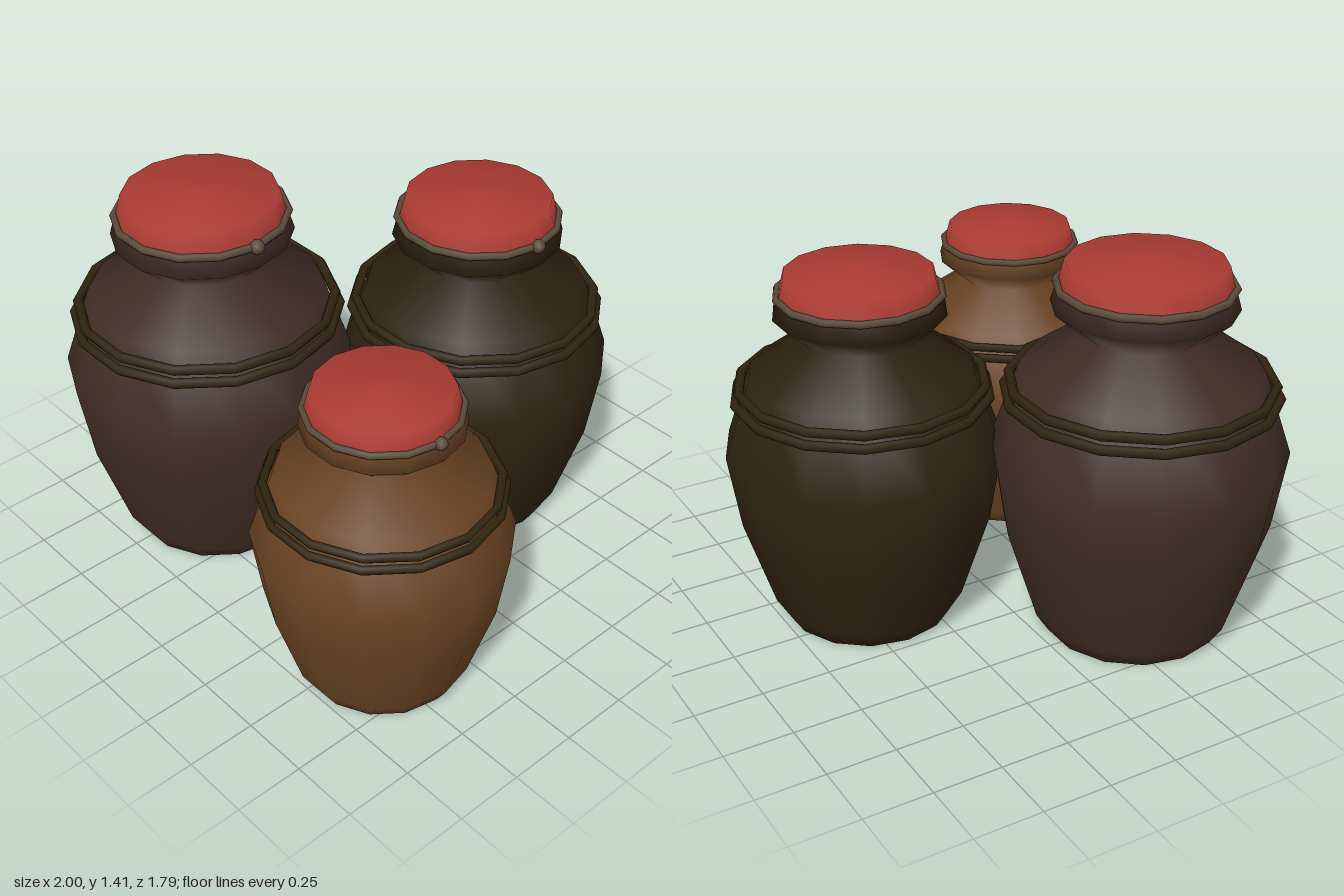
import * as THREE from 'three';

const SIDES = 14;

function material(name, color) {
  const m = new THREE.MeshStandardMaterial({ color });
  m.name = name;
  return m;
}

function part(name, geometry, mat) {
  const mesh = new THREE.Mesh(geometry, mat);
  mesh.name = name;
  return mesh;
}

// Turned shape with a corner pointing along +x
function turned(profile) {
  const points = profile.map(([r, y]) => new THREE.Vector2(r, y));
  return new THREE.LatheGeometry(points, SIDES).rotateY(Math.PI / 2);
}

// Horizontal ring of cord
function ring(radius, tube, y) {
  return new THREE.TorusGeometry(radius, tube, 6, SIDES).rotateX(Math.PI / 2).translate(0, y, 0);
}

export function createModel() {
  const cloth = material('red cloth', 0xa83a32);
  const cord = material('pale cord', 0x5a4c3a);
  const rope = material('dark rope', 0x302410);

  const bodyProfile = [
    [0, 0], [0.32, 0], [0.365, 0.07], [0.475, 0.418], [0.52, 0.71],
    [0.42, 1.0], [0.222, 1.143], [0.32, 1.23], [0.298, 1.305],
  ];
  const coverProfile = [[0.296, 1.3], [0.275, 1.382], [0, 1.412]];

  function jar(name, clay, scale, x, z) {
    const g = new THREE.Group();
    g.name = name;
    g.add(part('body', turned(bodyProfile), clay));
    g.add(part('clothCover', turned(coverProfile), cloth));
    // Cord tying the cover down, with its knot
    g.add(part('coverCord', ring(0.302, 0.014, 1.303), cord));
    const knot = new THREE.SphereGeometry(0.027, 8, 6).translate(0.306, 1.303, 0);
    g.add(part('cordKnot', knot, cord));
    // Two ropes around the shoulder
    g.add(part('upperRope', ring(0.458, 0.018, 0.957), rope));
    g.add(part('lowerRope', ring(0.473, 0.018, 0.913), rope));
    g.scale.setScalar(scale);
    g.position.set(x, 0, z);
    return g;
  }

  const model = new THREE.Group();
  model.name = 'clayJars';
  model.add(
    jar('largeJar', material('umber clay', 0x422d25), 1, -0.48, 0.36),
    jar('middleJar', material('olive clay', 0x2f2310), 0.948, 0.09, -0.42),
    jar('smallJar', material('tan clay', 0x6b4423), 0.848, 0.56, 0.46),
  );
  return model;
}
